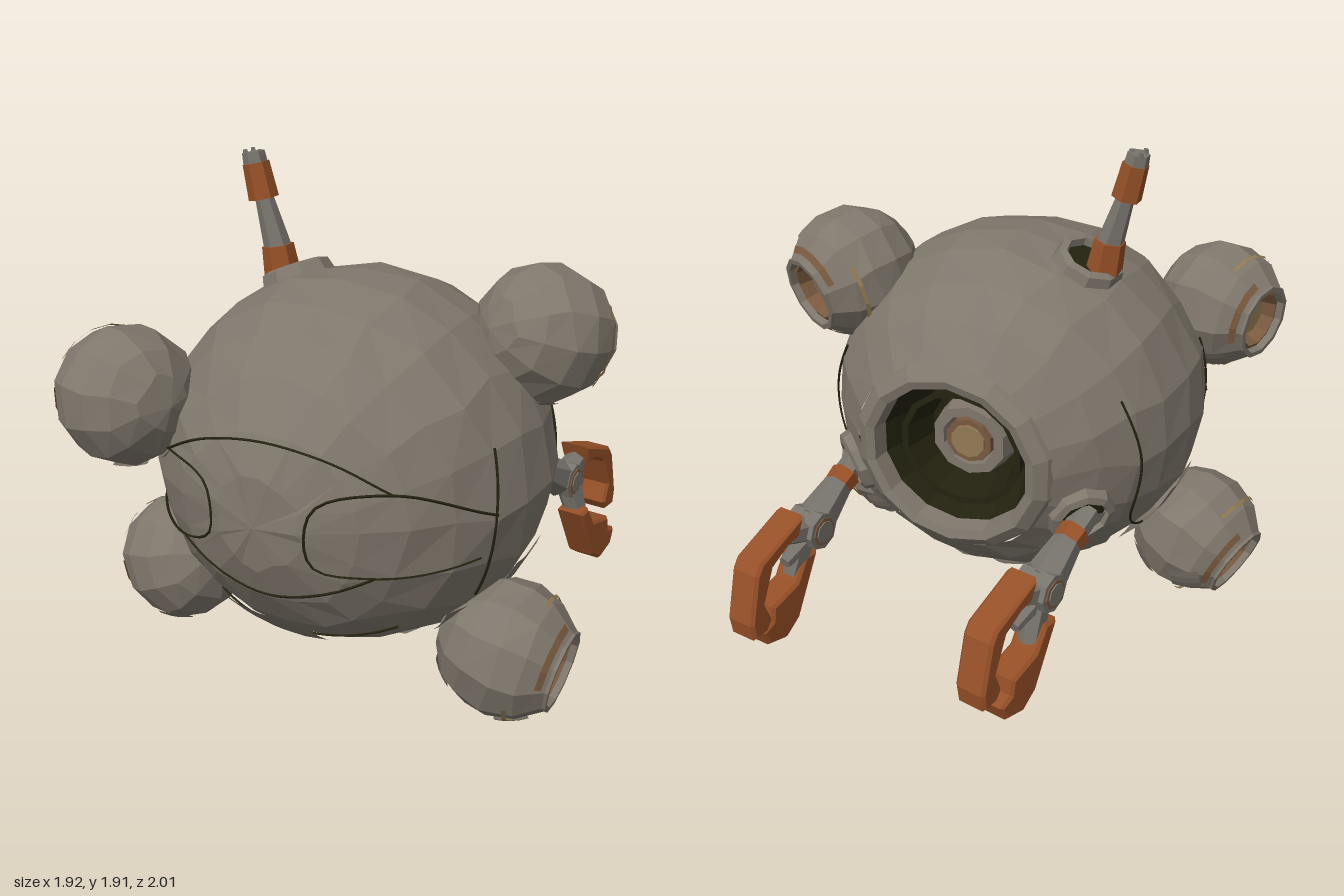
import * as THREE from 'three';

const mat = (name, color, side = THREE.FrontSide) =>
  Object.assign(new THREE.MeshStandardMaterial({ color, flatShading: true, side }), { name });
const hullGrey = mat('hull grey', 0x7f776c);
const plateGrey = mat('plate grey', 0x7c7469, THREE.DoubleSide);
const jointGrey = mat('joint grey', 0x78746d);
const rust = mat('rust orange', 0x965027);
const brown = mat('nozzle brown', 0x79593f, THREE.DoubleSide);
const brass = mat('brass', 0x927b56, THREE.DoubleSide);
const dark = mat('dark recess', 0x232210, THREE.DoubleSide);

const V = (x, y, z) => new THREE.Vector3(x, y, z);
const UP = V(0, 1, 0);
const C = V(0.035, 0.84, 0.23); // hull centre
const R = 0.747;
const SQUASH = 0.94; // hull height against its width

function add(parent, name, geometry, material) {
  const m = new THREE.Mesh(geometry, material);
  m.name = name;
  parent.add(m);
  return m;
}

// Same input position always gives the same value, so shared corners stay joined
function hash(v, k) {
  const r = (n) => Math.round(n * 1000) / 1000 + 0;
  const s = Math.sin(r(v.x) * 127.1 + r(v.y) * 311.7 + r(v.z) * 74.7 + k * 19.3) * 43758.5453;
  return s - Math.floor(s);
}

const lathe = (pts, sides, start = 0, arc = Math.PI * 2) =>
  new THREE.LatheGeometry(pts.map(([r, y]) => new THREE.Vector2(r, y)), sides, start, arc);

// Irregular faceted ball with a round opening at +y
function shellGeometry(r, openR, rings, sides) {
  const end = Math.PI - Math.asin(openR / r);
  const pts = [];
  for (let i = 0; i <= rings; i++) {
    const a = (end * i) / rings;
    pts.push([i ? r * Math.sin(a) : 0, -r * Math.cos(a)]);
  }
  const g = lathe(pts, sides);
  const p = g.attributes.position;
  const rimY = Math.sqrt(r * r - openR * openR) - 0.001;
  const amount = (r * 1.2) / sides;
  for (let i = 0; i < p.count; i++) {
    const v = V().fromBufferAttribute(p, i);
    if (v.y > rimY) continue;
    const j = V(hash(v, 1) - 0.5, hash(v, 2) - 0.5, hash(v, 3) - 0.5).multiplyScalar(amount);
    const len = r * (0.982 + 0.018 * hash(v, 4));
    v.add(j).setLength(len);
    p.setXYZ(i, v.x, v.y, v.z);
  }
  return g;
}

// Curved plate laid on a ball, facing dir
function panel(parent, r, dir, w, h, roll = 0) {
  const m = add(parent, 'hullPlate',
    new THREE.SphereGeometry(r + 0.005, 4, 3, Math.PI / 2 - w / 2, w, Math.PI / 2 - h / 2, h), plateGrey);
  m.lookAt(dir);
  m.rotateZ(roll);
}

// Dark seam line that follows the hull
function seam(hull, pts) {
  const path = new THREE.CatmullRomCurve3(pts);
  const on = path.getPoints(24).map((v) => v.setLength(R - 0.003));
  add(hull, 'hullSeam', new THREE.TubeGeometry(new THREE.CatmullRomCurve3(on), 36, 0.005, 4), dark);
}
const local = (x, y, z) => V(x - C.x, (y - C.y) / SQUASH, z - C.z);
const onFront = ([x, y]) => {
  const v = local(x, y, C.z);
  return v.setZ(Math.sqrt(Math.max(0.001, R * R - v.x * v.x - v.y * v.y)));
};

function rod(parent, name, a, b, r1, r2, material, sides = 6) {
  const m = add(parent, name, new THREE.CylinderGeometry(r2, r1, a.distanceTo(b), sides), material);
  m.position.copy(a).add(b).multiplyScalar(0.5);
  m.quaternion.setFromUnitVectors(UP, b.clone().sub(a).normalize());
}

// Ring socket seated on the hull
function socket(hull, x, y, z, r) {
  const g = new THREE.Group();
  g.name = 'socket';
  const d = local(x, y, z).normalize();
  g.position.copy(d).multiplyScalar(R - 0.04);
  g.quaternion.setFromUnitVectors(UP, d);
  add(g, 'socketRing', lathe([[r * 1.1, 0], [r, 0.05], [r * 0.78, 0.06], [r * 0.66, 0]], 9), hullGrey);
  add(g, 'socketWell', new THREE.CylinderGeometry(r * 0.72, r * 0.72, 0.06, 9), dark);
  hull.add(g);
}

// Ball thruster with recessed nozzle
function thruster(parent, pos, dir, r = 0.258) {
  const g = new THREE.Group();
  g.name = 'thruster';
  g.position.copy(pos);
  g.quaternion.setFromUnitVectors(UP, dir.clone().normalize());
  const o = 0.155, y = Math.sqrt(r * r - o * o);
  add(g, 'thrusterShell', shellGeometry(r, o, 6, 11), hullGrey);
  add(g, 'thrusterLip', lathe([[o, y - 0.005], [o, y + 0.012], [o - 0.02, y + 0.012], [o - 0.027, y - 0.05]], 11), hullGrey);
  add(g, 'nozzleWell', lathe([[0, y - 0.12], [0.12, y - 0.1], [o - 0.02, y - 0.02]], 11), dark);
  add(g, 'nozzleRing', lathe([[0.115, y - 0.07], [0.128, y - 0.015], [0.113, y - 0.01], [0.096, y - 0.07]], 11), brown);
  add(g, 'nozzleCore', new THREE.CylinderGeometry(0.084, 0.094, 0.04, 9), brass).position.y = y - 0.075;
  // Thin bands showing between the shell plates
  for (let i = 0; i < 2; i++) {
    const at = (h) => [Math.sqrt(r * r - h * h) + 0.002, h];
    add(g, 'brassBand', lathe([at(0.092), at(0.106)], 4, i * 3.1 + 0.4, 1.3), brass);
    add(g, 'brownBand', lathe([at(0.175), at(0.195)], 4, i * 3.1 + 1.6, 1.5), brown);
  }
  for (let i = 0; i < 4; i++) {
    const a = i * 1.57 + 0.6;
    panel(g, r - 0.004, V(Math.cos(a), -0.12 - 0.25 * (i % 2), Math.sin(a)), 0.48, 0.42, 0.15);
  }
  parent.add(g);
}

// Finger outline is [distance back, height], extruded across the arm
function finger(parent, name, outline, x, width) {
  const shape = new THREE.Shape(outline.map(([b, y]) => new THREE.Vector2(b - 0.34, y)));
  const g = new THREE.ExtrudeGeometry(shape, {
    depth: width - 0.024, bevelThickness: 0.012, bevelSize: 0.012, bevelOffset: -0.012, bevelSegments: 1 });
  g.translate(0, 0, 0.012 - width / 2).rotateY(Math.PI / 2);
  add(parent, name, g, rust).position.x = x;
}

function clawArm(parent, x, yaw, lowerX) {
  const g = new THREE.Group();
  g.name = 'clawArm';
  g.position.set(x, 0, -0.34);
  g.rotation.y = yaw;
  const P = (back, y, px = 0) => V(px, y, 0.34 - back);
  rod(g, 'shoulder', P(0.27, 0.66), P(0.37, 0.615), 0.05, 0.05, jointGrey);
  rod(g, 'shoulderCollar', P(0.355, 0.62), P(0.42, 0.59), 0.06, 0.055, rust);
  rod(g, 'forearm', P(0.4, 0.6), P(0.56, 0.51), 0.055, 0.08, jointGrey);
  rod(g, 'elbowDrum', P(0.585, 0.5, -0.068), P(0.585, 0.5, 0.068), 0.075, 0.075, jointGrey, 8);
  rod(g, 'elbowRing', P(0.585, 0.5, -0.073), P(0.585, 0.5, 0.073), 0.057, 0.057, brown, 8);
  rod(g, 'elbowPin', P(0.585, 0.5, -0.078), P(0.585, 0.5, 0.078), 0.044, 0.044, jointGrey, 8);
  rod(g, 'upperKnuckle', P(0.6, 0.5), P(0.72, 0.54), 0.06, 0.045, jointGrey);
  rod(g, 'lowerKnuckle', P(0.6, 0.46, lowerX * 0.5), P(0.64, 0.3, lowerX), 0.055, 0.045, jointGrey);
  rod(g, 'wristBar', P(0.64, 0.45), P(0.74, 0.42), 0.035, 0.025, jointGrey);
  finger(g, 'upperFinger', [[0.68, 0.62], [0.71, 0.54], [0.78, 0.53], [0.86, 0.49], [0.92, 0.36],
    [0.89, 0.28], [0.92, 0.24], [0.99, 0.24], [1.0, 0.31], [0.95, 0.5], [0.92, 0.54]], 0, 0.125);
  finger(g, 'lowerFinger', [[0.55, 0.37], [0.62, 0.38], [0.68, 0.29], [0.82, 0.26], [0.83, 0.2],
    [0.89, 0.18], [0.86, 0.11], [0.76, 0.08], [0.68, 0.13]], lowerX, 0.12);
  parent.add(g);
}

function antenna(parent) {
  const g = new THREE.Group();
  g.name = 'antenna';
  const z = 0.145;
  rod(g, 'antennaBase', V(-0.33, 1.44, z), V(-0.35, 1.56, z), 0.07, 0.06, rust);
  rod(g, 'antennaStem', V(-0.35, 1.55, z), V(-0.405, 1.74, z), 0.052, 0.034, jointGrey);
  rod(g, 'antennaSleeve', V(-0.405, 1.73, z), V(-0.435, 1.86, z), 0.057, 0.05, rust);
  rod(g, 'antennaTip', V(-0.435, 1.85, z), V(-0.445, 1.9, z), 0.046, 0.042, jointGrey);
  for (let i = 0; i < 3; i++) {
    const a = i * 2.1, o = V(0.03 * Math.cos(a), 0, 0.03 * Math.sin(a));
    rod(g, 'antennaProng', V(-0.445, 1.89, z).add(o), V(-0.448, 1.91, z).add(o), 0.012, 0.009, jointGrey, 4);
  }
  parent.add(g);
}

export function createModel() {
  const model = new THREE.Group();
  model.name = 'sphericalPod';
  const hull = new THREE.Group();
  hull.name = 'hull';
  hull.position.copy(C);
  hull.scale.y = SQUASH;
  model.add(hull);

  // Shell and rear engine, opening turned to -z
  const shell = new THREE.Group();
  shell.name = 'shellAndEngine';
  shell.rotation.x = -Math.PI / 2;
  add(shell, 'hullShell', shellGeometry(R, 0.4, 11, 20), hullGrey);
  add(shell, 'engineRim', lathe([[0.41, 0.61], [0.395, 0.645], [0.35, 0.68], [0.315, 0.67], [0.3, 0.55]], 14), hullGrey);
  add(shell, 'engineWell', lathe([[0, 0.36], [0.24, 0.4], [0.305, 0.6]], 14), dark);
  add(shell, 'engineRing', lathe([[0.215, 0.42], [0.25, 0.57], [0.225, 0.57], [0.19, 0.42]], 14), dark);
  add(shell, 'engineInnerRing', lathe([[0.17, 0.38], [0.15, 0.5], [0.11, 0.5], [0.1, 0.4]], 10), hullGrey);
  add(shell, 'engineCollar', lathe([[0.1, 0.4], [0.095, 0.5], [0.07, 0.5]], 10), brown);
  add(shell, 'engineCore', new THREE.CylinderGeometry(0.07, 0.08, 0.1, 10), brass).position.y = 0.46;
  hull.add(shell);

  // Raised plates: brow, flanks, belly and back
  panel(hull, R, V(0, 0.62, 0.45), 0.5, 0.28);
  for (const s of [-1, 1]) {
    panel(hull, R, V(s * 0.5, 0.42, 0.4), 0.3, 0.28, s * 0.3);
    panel(hull, R, V(s, 0.12, 0.22), 0.34, 0.5);
    panel(hull, R, V(s, 0.2, -0.62), 0.16, 0.36);
    panel(hull, R, V(s * 0.5, -0.6, 0.25), 0.3, 0.3, s * 0.4);
    panel(hull, R, V(s * 0.3, -0.7, -0.4), 0.35, 0.25, s * 0.3);
  }

  // Seams of the face: brow, cheeks and lips
  const lines = [
    [[-0.42, 0.97], [-0.2, 1.08], [0.04, 1.12], [0.28, 1.08], [0.47, 0.98]],
    [[-0.66, 0.84], [-0.42, 0.97], [-0.18, 0.94], [-0.16, 0.77], [-0.33, 0.68], [-0.62, 0.69]],
    [[0.72, 0.84], [0.47, 0.98], [0.24, 0.93], [0.23, 0.72], [0.4, 0.68], [0.68, 0.69]],
    [[-0.33, 0.68], [-0.12, 0.59], [0.04, 0.56], [0.24, 0.6], [0.42, 0.68]],
    [[-0.32, 0.37], [-0.12, 0.34], [0.04, 0.34], [0.24, 0.35], [0.42, 0.41]],
  ];
  lines.forEach((l) => seam(hull, l.map(onFront)));
  // Seams of the flanks
  for (const s of [-1, 1]) {
    const X = (y, z) => local(C.x + s * 0.6, y, z);
    seam(hull, [X(0.5, 0.5), X(0.8, 0.5), X(1.05, 0.48)]);
    seam(hull, [X(1.1, -0.2), X(0.85, -0.12), X(0.55, -0.1), X(0.4, 0.1)]);
  }

  // Four thrusters
  thruster(model, V(0.665, 1.325, 0.01), V(0.45, -0.25, -0.85));
  thruster(model, V(-0.62, 1.12, 0.755), V(-0.9, -0.1, -0.3));
  thruster(model, V(0.715, 0.257, 0.39), V(0.96, -0.2, 0));
  thruster(model, V(-0.7, 0.28, 0.35), V(-0.85, -0.35, -0.25));

  // Arms and antenna in their sockets
  socket(hull, -0.44, 0.65, -0.3, 0.125);
  socket(hull, 0.52, 0.65, -0.3, 0.125);
  socket(hull, -0.29, 1.5, 0.14, 0.13);
  clawArm(model, -0.44, -0.2, 0);
  clawArm(model, 0.53, -0.14, 0.06);
  antenna(model);
  return model;
}
